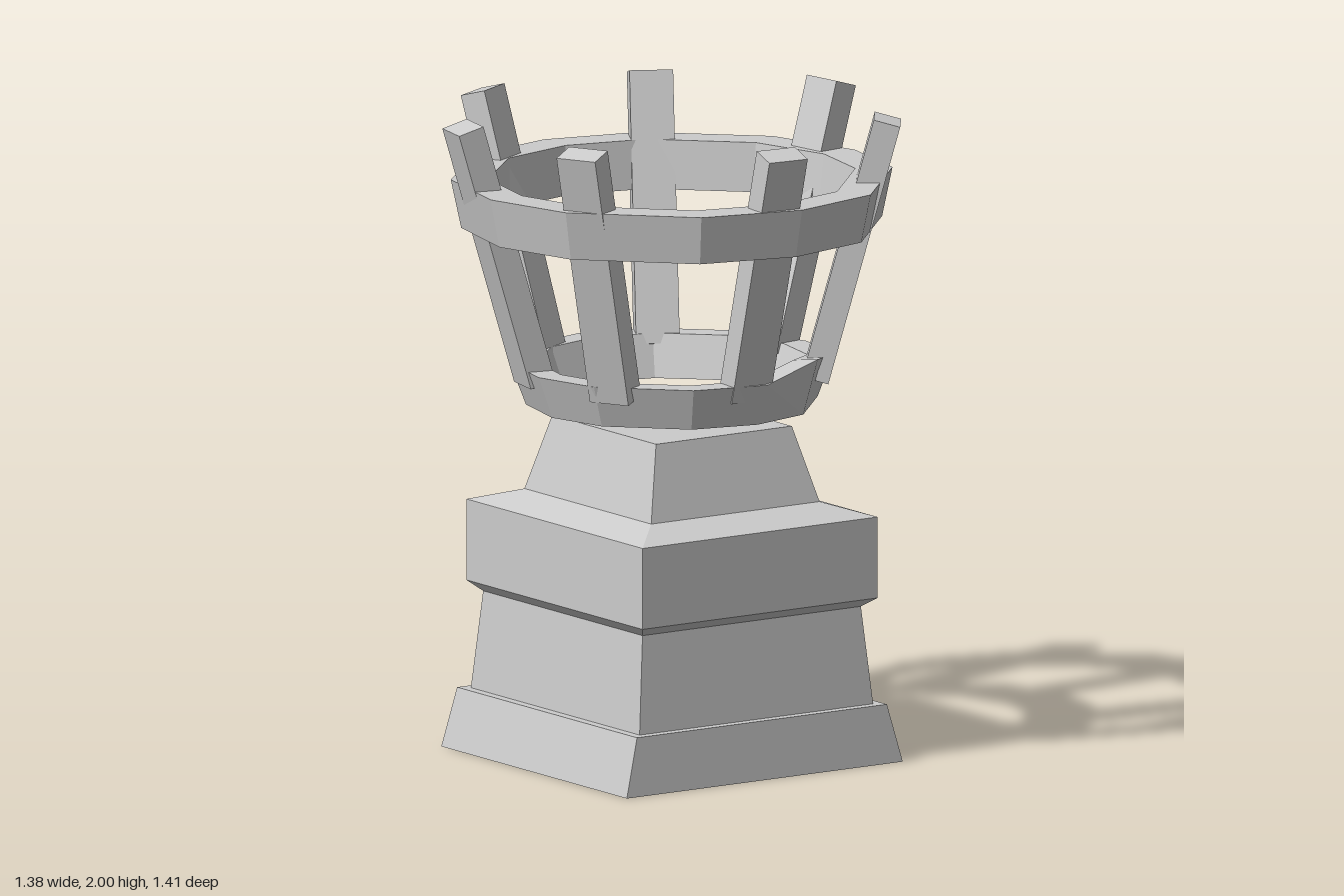
import * as THREE from 'three';

// Flat-shaded skin over columns of points; columns close around the y axis.
// Each column runs upward on the outside; closed profiles wrap back to their start.
function loft(columns, closedProfile) {
  const pos = [];
  const n = columns.length, m = columns[0].length;
  const tri = (a, b, c) => {
    const cross = b.clone().sub(a).cross(c.clone().sub(a));
    if (cross.lengthSq() > 1e-14) for (const p of [a, b, c]) pos.push(p.x, p.y, p.z);
  };
  for (let i = 0; i < n; i++) {
    const A = columns[i], B = columns[(i + 1) % n];
    for (let k = 0; k < (closedProfile ? m : m - 1); k++) {
      const k2 = (k + 1) % m;
      tri(A[k], A[k2], B[k2]);
      tri(A[k], B[k2], B[k]);
    }
  }
  const g = new THREE.BufferGeometry();
  g.setAttribute('position', new THREE.Float32BufferAttribute(pos, 3));
  g.computeVertexNormals();
  return g;
}

// Uneven hand-hewn corner angles of the hoops, in degrees from +x toward +z
const ANGLES = [0, 28, 64, 90, 119, 153, 180, 207, 242, 270, 295, 333];

// Hoop with a four-cornered section: outer bottom, outer top, inner top, inner bottom
function hoop(y0, y1, outer0, outer1, inner1, inner0, lift = {}) {
  const columns = ANGLES.map((deg, i) => {
    const a = THREE.MathUtils.degToRad(deg);
    const up = lift[i] || 0;
    return [[outer0, y0], [outer1, y1 + up], [inner1, y1 + up * 0.8], [inner0, y0]].map(
      ([r, y]) => new THREE.Vector3(r * Math.cos(a), y, r * Math.sin(a)));
  });
  return loft(columns, true);
}

export function createModel() {
  const model = new THREE.Group();
  model.name = 'fireBasket';
  const stone = new THREE.MeshStandardMaterial({ color: 0xcccccc });
  stone.name = 'paleGrey';
  const add = (name, geometry) => {
    const mesh = new THREE.Mesh(geometry, stone);
    mesh.name = name;
    model.add(mesh);
    return mesh;
  };

  // Stepped pedestal: half width, height, half depth at each level
  const levels = [
    [0, 0, 0], [0.495, 0, 0.508], [0.48, 0.18, 0.46], [0.45, 0.18, 0.43],
    [0.425, 0.48, 0.402], [0.47, 0.51, 0.433], [0.47, 0.76, 0.433],
    [0.338, 0.8, 0.31], [0.277, 1.03, 0.25], [0, 1.03, 0],
  ];
  const corners = [[1, -1], [1, 1], [-1, 1], [-1, -1]];
  const pedestal = add('pedestal', loft(
    corners.map(([sx, sz]) => levels.map(([w, y, d]) => new THREE.Vector3(sx * w, y, sz * d))), false));
  pedestal.position.x = -0.021;
  pedestal.rotation.y = -0.013;

  // Two hoops; the lower one has a chipped-up corner at the back left
  add('lowerHoop', hoop(1.09, 1.22, 0.447, 0.497, 0.415, 0.368, { 11: 0.045 })).position.x = -0.018;
  add('upperHoop', hoop(1.64, 1.79, 0.645, 0.677, 0.562, 0.545)).position.x = -0.017;

  // Leaning slats: inner face bottom x, z, then inner face top x, y, z
  const slats = [
    [-0.095, -0.385, -0.125, 2.0, -0.63],
    [0.26, -0.285, 0.39, 1.985, -0.46],
    [0.367, 0.03, 0.6, 1.975, 0.055],
    [0.195, 0.34, 0.288, 1.98, 0.53],
    [-0.148, 0.375, -0.2, 1.99, 0.605],
    [-0.39, 0.163, -0.582, 2.0, 0.262],
    [-0.366, -0.193, -0.545, 1.995, -0.295],
  ];
  const width = 0.133, depth = 0.083;
  for (const [bx, bz, tx, ty, tz] of slats) {
    const bottom = new THREE.Vector3(bx, 1.19, bz), top = new THREE.Vector3(tx, ty, tz);
    const along = top.clone().sub(bottom);
    const length = along.length();
    along.normalize();
    const side = new THREE.Vector3(along.z, 0, -along.x).normalize();
    const out = side.clone().cross(along);
    const slat = add('slat', new THREE.BoxGeometry(width, length, depth));
    slat.quaternion.setFromRotationMatrix(new THREE.Matrix4().makeBasis(side, along, out));
    slat.position.copy(bottom).add(top).multiplyScalar(0.5).addScaledVector(out, depth / 2);
  }
  return model;
}
